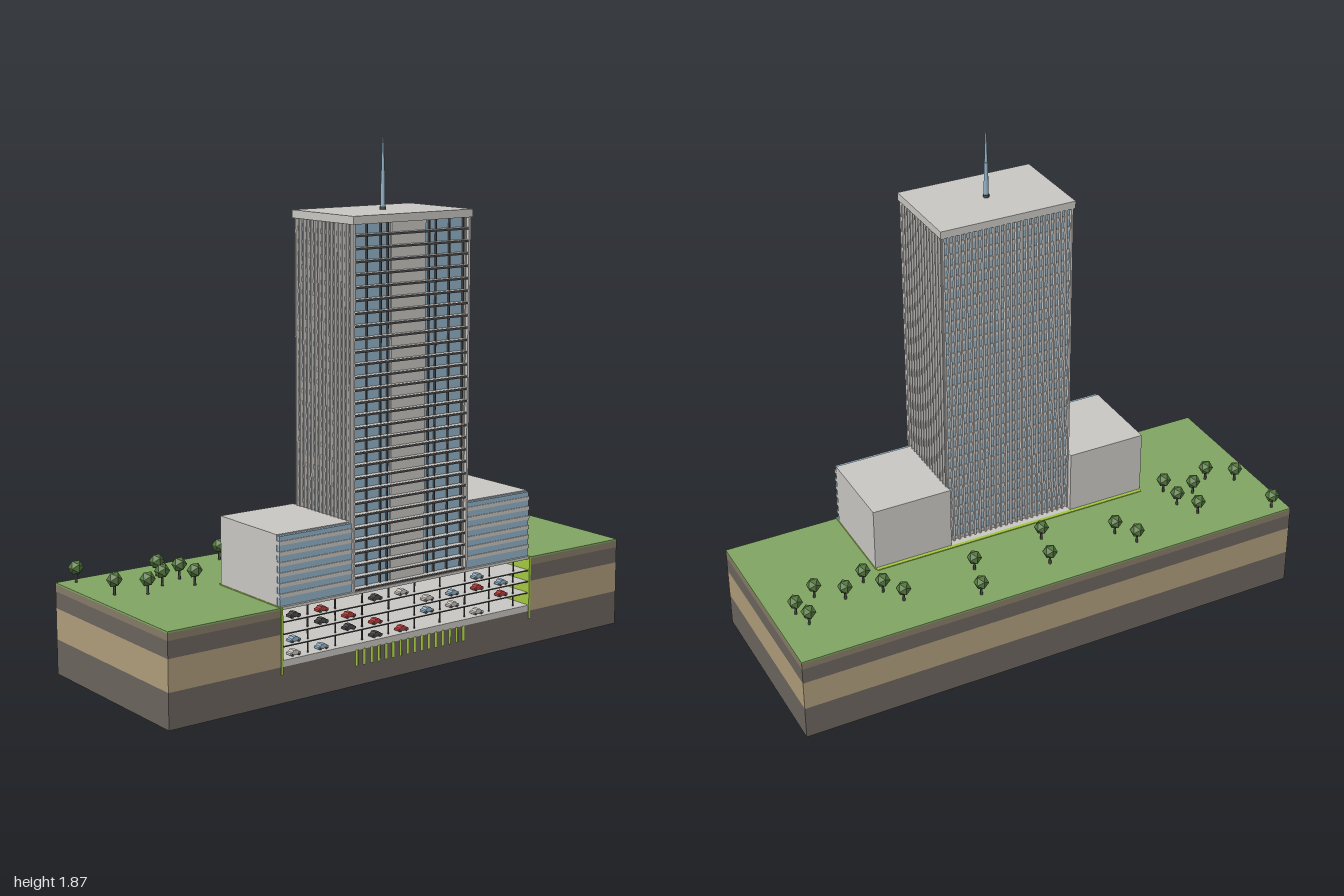
import * as THREE from 'three';
import { mergeGeometries } from 'three/addons/utils/BufferGeometryUtils.js';

const mat = (name, color) => Object.assign(new THREE.MeshStandardMaterial({ color }), { name });

export function createModel() {
  const soil = mat('dark soil', 0x6b645d), clay = mat('tan clay', 0xae9b7a), earth = mat('brown topsoil', 0x867a66);
  const grass = mat('grass', 0x80a663), concrete = mat('concrete', 0xc9c7c3), glass = mat('blue glass', 0x93b3c8);
  const dark = mat('dark metal', 0x4c4a4b), lime = mat('lime wall', 0xa3c740), leaf = mat('tree leaf', 0x55783f);
  const red = mat('car red', 0xb83f3c);
  const model = new THREE.Group();
  model.name = 'towerOnGroundSection';

  // box given by its min and max on each axis
  const box = (x0, x1, y0, y1, z0, z1) =>
    new THREE.BoxGeometry(x1 - x0, y1 - y0, z1 - z0).translate((x0 + x1) / 2, (y0 + y1) / 2, (z0 + z1) / 2);
  const add = (name, material, geos, parent = model) => {
    const mesh = new THREE.Mesh(mergeGeometries([].concat(geos)), material);
    mesh.name = name;
    parent.add(mesh);
    return mesh;
  };
  const group = (name) => {
    const g = new THREE.Group();
    g.name = name;
    model.add(g);
    return g;
  };
  const range = (n, f) => Array.from({ length: n }, (_, i) => f(i));

  // Ground section: full base, then layers wrapped around the garage pit
  const ground = group('ground');
  const B = -0.37, F = 0.365, W = 0.555, PIT = -0.005;
  const layer = (y0, y1) => [
    box(-1, -W, y0, y1, B, F), box(W, 1, y0, y1, B, F), box(-W, W, y0, y1, B, PIT),
  ];
  add('bedrock', soil, box(-1, 1, 0, 0.127, B, F), ground);
  add('clayLayer', clay, layer(0.127, 0.24), ground);
  add('darkLayer', soil, layer(0.24, 0.3), ground);
  add('topsoil', earth, layer(0.3, 0.325), ground);
  add('lawn', grass, layer(0.325, 0.331), ground);

  // Underground garage, open at the front
  const garage = group('garage');
  add('retainingWalls', lime, [
    box(-W, W, 0.13, 0.334, -0.01, 0.004),
    box(-W - 0.004, -W + 0.004, 0.1, 0.334, 0, 0.369),
    box(W - 0.004, W + 0.004, 0.1, 0.334, 0, 0.369),
  ], garage);
  add('foundationSlab', concrete, box(-W + 0.004, W - 0.004, 0.127, 0.15, 0.004, 0.367), garage);
  add('foundationPiles', lime, range(16, (i) =>
    new THREE.CylinderGeometry(0.005, 0.005, 0.057, 8).translate(-0.24 + i * 0.032, 0.1, F)), garage);
  const decks = [0.15, 0.197, 0.24, 0.282];
  const deckEdge = (y) => box(-W + 0.004, W - 0.004, y - 0.004, y, 0.36, 0.363);
  add('garageDecks', concrete, decks.slice(1).map((y) => box(-W + 0.004, W - 0.004, y - 0.005, y, 0.004, 0.36)), garage);
  add('deckEdges', dark, decks.slice(1).map(deckEdge), garage);
  add('garageColumns', dark, range(9, (i) => [0.1, 0.34].map((z) =>
    box(-0.432 + i * 0.116 - 0.002, -0.432 + i * 0.116 + 0.002, 0.15, 0.326, z, z + 0.004))).flat(), garage);
  add('groundFloorSlab', concrete, box(-W, W, 0.324, 0.334, 0.004, F), garage);

  // Parked cars: k dark, r red, s light, b blue; one string for each deck, lowest first
  const paint = { k: dark, r: red, s: concrete, b: glass };
  const profile = new THREE.Shape([
    [-0.022, 0.004], [-0.022, 0.011], [-0.013, 0.013], [-0.008, 0.02], [0.007, 0.02],
    [0.013, 0.013], [0.022, 0.011], [0.022, 0.004],
  ].map(([x, y]) => new THREE.Vector2(x, y)).reverse());
  const carGeo = new THREE.ExtrudeGeometry(profile, { depth: 0.025, bevelEnabled: false });
  const wheelGeo = mergeGeometries([-0.013, 0.013].map((x) =>
    new THREE.CylinderGeometry(0.0045, 0.0045, 0.027, 10).rotateX(Math.PI / 2).translate(x, 0.0045, 0.0125)));
  ['sb.kr..s.', 'b.kr.bs.r', '.kr..sbrb', 'kr.ks..b.'].forEach((row, d) => [...row].forEach((c, i) => {
    if (c === '.') return;
    const car = group('parkedCar');
    garage.add(car);
    add('carBody', paint[c], carGeo, car);
    add('carWheels', dark, wheelGeo, car);
    car.position.set(-0.487 + i * 0.116, decks[d], 0.325);
  }));

  // Low wings on both sides of the tower
  for (const s of [-1, 1]) {
    const wing = group(s > 0 ? 'leftWing' : 'rightWing');
    const span = (a, b, ...r) => (s > 0 ? box(a, b, ...r) : box(-b, -a, ...r));
    add('wingBlock', concrete, span(0.25, 0.557, 0.33, 0.578, 0.005, 0.342), wing);
    add('wingGlass', glass, span(0.25, 0.555, 0.334, 0.574, 0.342, 0.355), wing);
    add('wingBands', concrete, range(6, (i) =>
      span(0.25, 0.557, 0.363 + i * 0.036, 0.377 + i * 0.036, 0.342, 0.358)), wing);
  }

  // Tower core, floor bands, balconies and fins
  const tower = group('tower');
  const floors = 29, y0 = 0.334, top = 1.59, step = (top - y0) / floors;
  add('towerGlass', glass, box(-0.245, 0.245, y0, top, 0.037, 0.335), tower);
  add('centralWall', concrete, box(-0.075, 0.075, y0, top, 0.335, 0.341), tower);
  add('floorBands', concrete, range(floors, (i) =>
    box(-0.2475, 0.2475, y0 + i * step, y0 + i * step + 0.015, 0.034, 0.334)), tower);
  add('balconySlabs', concrete, range(floors, (i) =>
    box(-0.247, 0.247, y0 + i * step, y0 + i * step + 0.008, 0.33, 0.361)), tower);
  add('balconyEdges', dark, range(floors, (i) =>
    box(-0.247, 0.247, y0 + i * step + 0.001, y0 + i * step + 0.007, 0.361, 0.363)), tower);
  add('frontMullions', dark, [-0.243, -0.18, -0.12, -0.09, 0.09, 0.12, 0.18, 0.243].map((x) =>
    box(x - 0.002, x + 0.002, y0, top, 0.335, 0.343)), tower);
  add('cornerPiers', concrete, [-1, 1].map((s) =>
    box(s * 0.2515 - 0.0045, s * 0.2515 + 0.0045, y0, top, 0.352, 0.364)), tower);
  add('sideFins', concrete, range(15, (i) => [-1, 1].map((s) =>
    box(s * 0.2505 - 0.0055, s * 0.2505 + 0.0055, y0, top, 0.032 + i * 0.0222, 0.038 + i * 0.0222))).flat(), tower);
  add('backFins', concrete, range(24, (i) => {
    const x = -0.249 + (i * 0.498) / 23;
    return box(x - 0.0035, x + 0.0035, y0, top, 0.025, 0.038);
  }), tower);
  add('towerRoof', concrete, box(-0.26, 0.26, top, 1.618, 0.022, 0.37), tower);

  // Roof mast in two stages
  const mast = (r0, r1, a, b) => new THREE.CylinderGeometry(r1, r0, b - a, 10).translate(0, (a + b) / 2, 0.196);
  add('mast', glass, [mast(0.009, 0.007, 1.618, 1.75), mast(0.006, 0.003, 1.75, 1.865)], tower);
  add('mastFoot', dark, mast(0.011, 0.011, 1.618, 1.628), tower);

  // Trees on the lawn
  const trees = [
    [-0.94, -0.33], [-0.67, -0.235], [-0.63, -0.15], [-0.915, -0.11], [-0.82, -0.05], [-0.725, -0.11], [-0.63, -0.05],
    [-0.37, -0.29], [-0.325, -0.205], [-0.065, -0.11], [-0.02, -0.26], [0.285, -0.31], [0.24, -0.165], [0.545, -0.215],
    [0.59, -0.135], [0.63, -0.05], [0.725, -0.11], [0.82, -0.05], [0.895, -0.185], [0.915, -0.11],
  ];
  leaf.flatShading = true;
  const crown = new THREE.IcosahedronGeometry(0.028, 0).translate(0, 0.385, 0);
  const trunk = new THREE.CylinderGeometry(0.004, 0.005, 0.05, 6).translate(0, 0.353, 0);
  for (const [x, z] of trees) {
    const tree = group('tree');
    add('treeCrown', leaf, crown, tree);
    add('treeTrunk', dark, trunk, tree);
    tree.position.set(x, 0, z);
  }
  return model;
}
